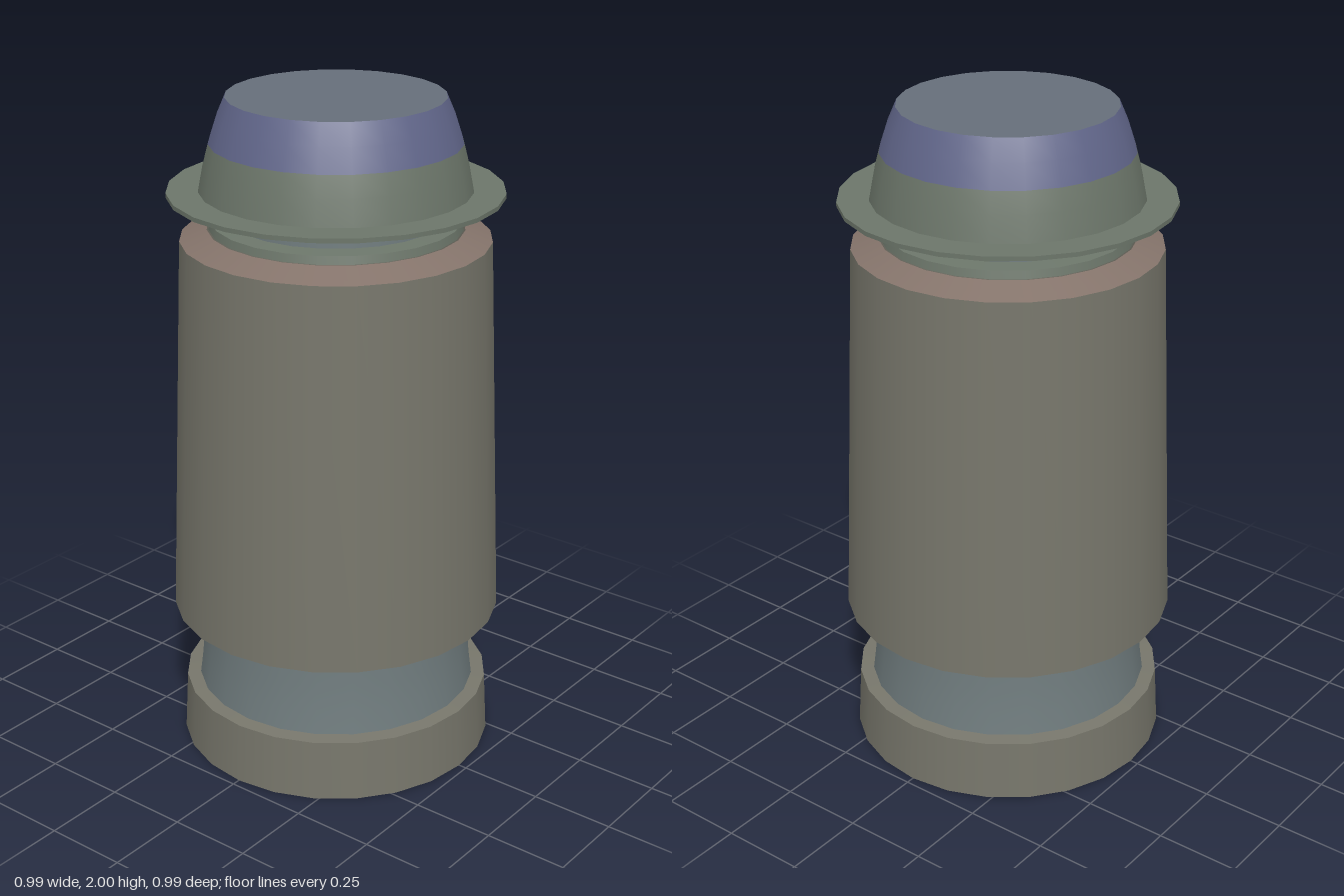
import * as THREE from 'three';

const SIDES = 24;

// Revolved band; each band has its own normals so the edges between bands stay sharp
function band(name, color, profile) {
  const points = profile.map(([r, y]) => new THREE.Vector2(r, y));
  const material = new THREE.MeshStandardMaterial({ color, side: THREE.DoubleSide });
  const mesh = new THREE.Mesh(new THREE.LatheGeometry(points, SIDES), material);
  mesh.name = name;
  return mesh;
}

export function createModel() {
  const group = new THREE.Group();
  group.name = 'cartridge';

  const drab = 0x77766b, steel = 0x707c7e, green = 0x6c766a;
  const rust = 0x84736a, blue = 0x61668a, slate = 0x666e7a;

  group.add(
    // open base ring and its ledge
    band('baseWall', drab, [[0.475, 0], [0.465, 0.185]]),
    band('baseLedge', drab, [[0.465, 0.185], [0.424, 0.19]]),
    // waisted groove above the base
    band('lowerNeck', steel, [[0.424, 0.19], [0.415, 0.26], [0.408, 0.34], [0.405, 0.41]]),
    // tapered body
    band('bodyUnderside', steel, [[0.405, 0.41], [0.495, 0.44]]),
    band('bodyWall', drab, [[0.495, 0.44], [0.449, 1.59]]),
    // shoulder and collar
    band('shoulder', rust, [[0.449, 1.59], [0.37, 1.622]]),
    band('collarWall', green, [[0.365, 1.622], [0.36, 1.645]]),
    band('collarTop', green, [[0.36, 1.645], [0.31, 1.65]]),
    band('upperNeck', steel, [[0.31, 1.65], [0.308, 1.695]]),
    band('neckFlare', steel, [[0.308, 1.695], [0.385, 1.72]]),
    // thin flange
    band('flangeUnderside', green, [[0.385, 1.72], [0.483, 1.72]]),
    band('flangeRim', green, [[0.483, 1.72], [0.483, 1.733]]),
    band('flangeTop', green, [[0.483, 1.733], [0.392, 1.733]]),
    // domed cap with a flat top
    band('domeLower', green, [[0.392, 1.733], [0.377, 1.81], [0.361, 1.87]]),
    band('domeUpper', blue, [[0.361, 1.87], [0.338, 1.94], [0.312, 2]]),
    band('domeTop', slate, [[0.312, 2], [0, 2]])
  );

  return group;
}
